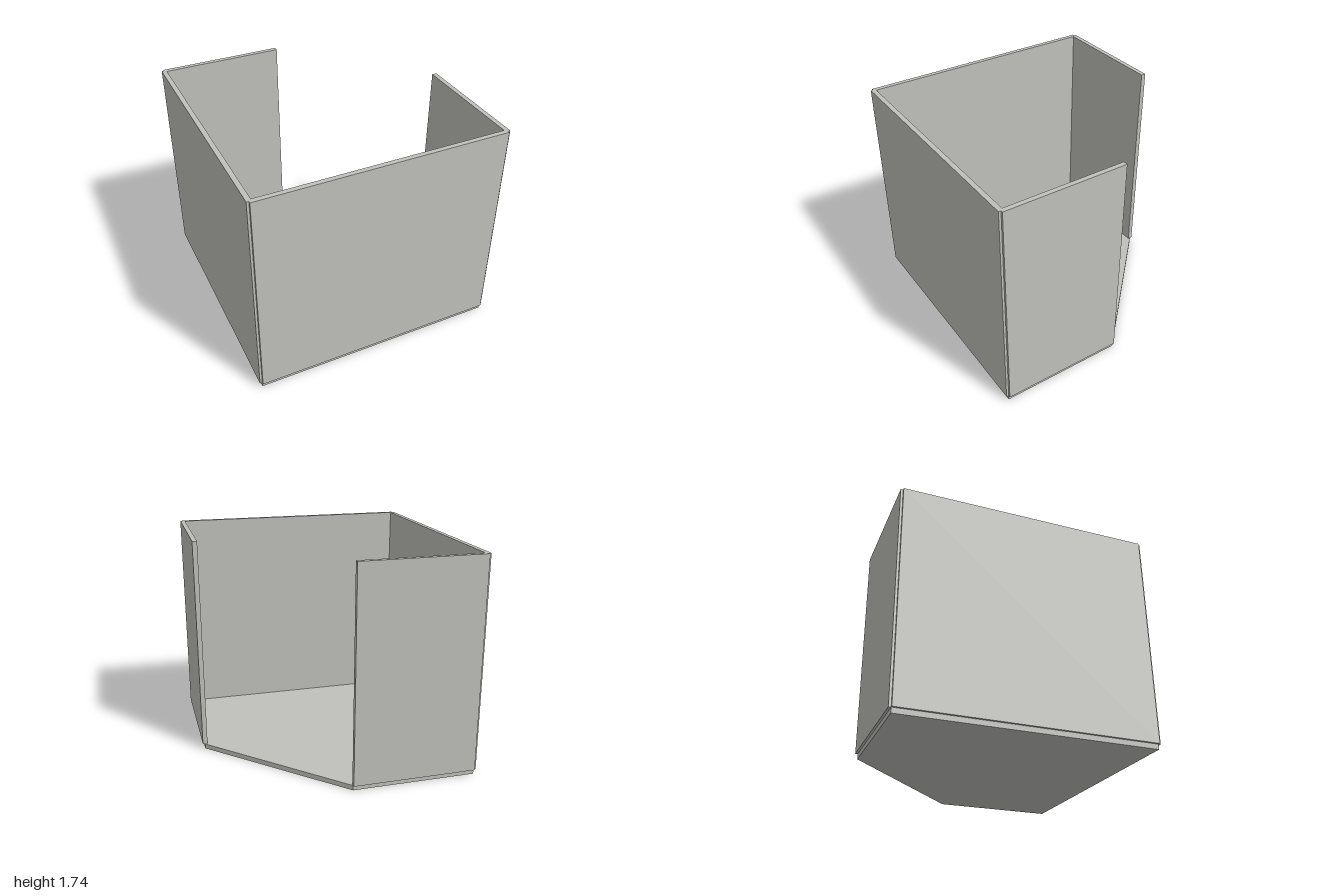
import * as THREE from 'three';

// Upright prism from a floor plan given as [x, z] corners
function prism(name, plan, y0, y1, material) {
  const shape = new THREE.Shape(plan.map(([x, z]) => new THREE.Vector2(x, -z)));
  const geometry = new THREE.ExtrudeGeometry(shape, { depth: y1 - y0, bevelEnabled: false });
  geometry.rotateX(-Math.PI / 2);
  geometry.translate(0, y0, 0);
  const mesh = new THREE.Mesh(geometry, material);
  mesh.name = name;
  return mesh;
}

export function createModel() {
  const group = new THREE.Group();
  group.name = 'openCornerEnclosure';
  const grey = new THREE.MeshStandardMaterial({ color: 0xc0c0bb });
  grey.name = 'warm grey';

  const mid = 0.98;    // wall centre line and floor edge
  const out = 0.998;   // outer wall face
  const inn = 0.96;    // inner wall face
  const base = 0.04;   // floor thickness
  const top = 1.743;   // wall top

  // Square floor with its back left corner cut off
  group.add(prism('floor', [
    [-mid, mid], [mid, mid], [mid, 0], [0, -mid], [-mid, -mid],
  ], 0, base, grey));

  // Continuous walls with small notches at the outer corners, open at the cut
  group.add(prism('walls', [
    [0, -out], [-mid, -out], [-mid, -mid], [-out, -mid],
    [-out, mid], [-mid, mid], [-mid, out],
    [mid, out], [mid, mid], [out, mid], [out, 0],
    [inn, 0], [inn, inn], [-inn, inn], [-inn, -inn], [0, -inn],
  ], base, top, grey));

  return group;
}
